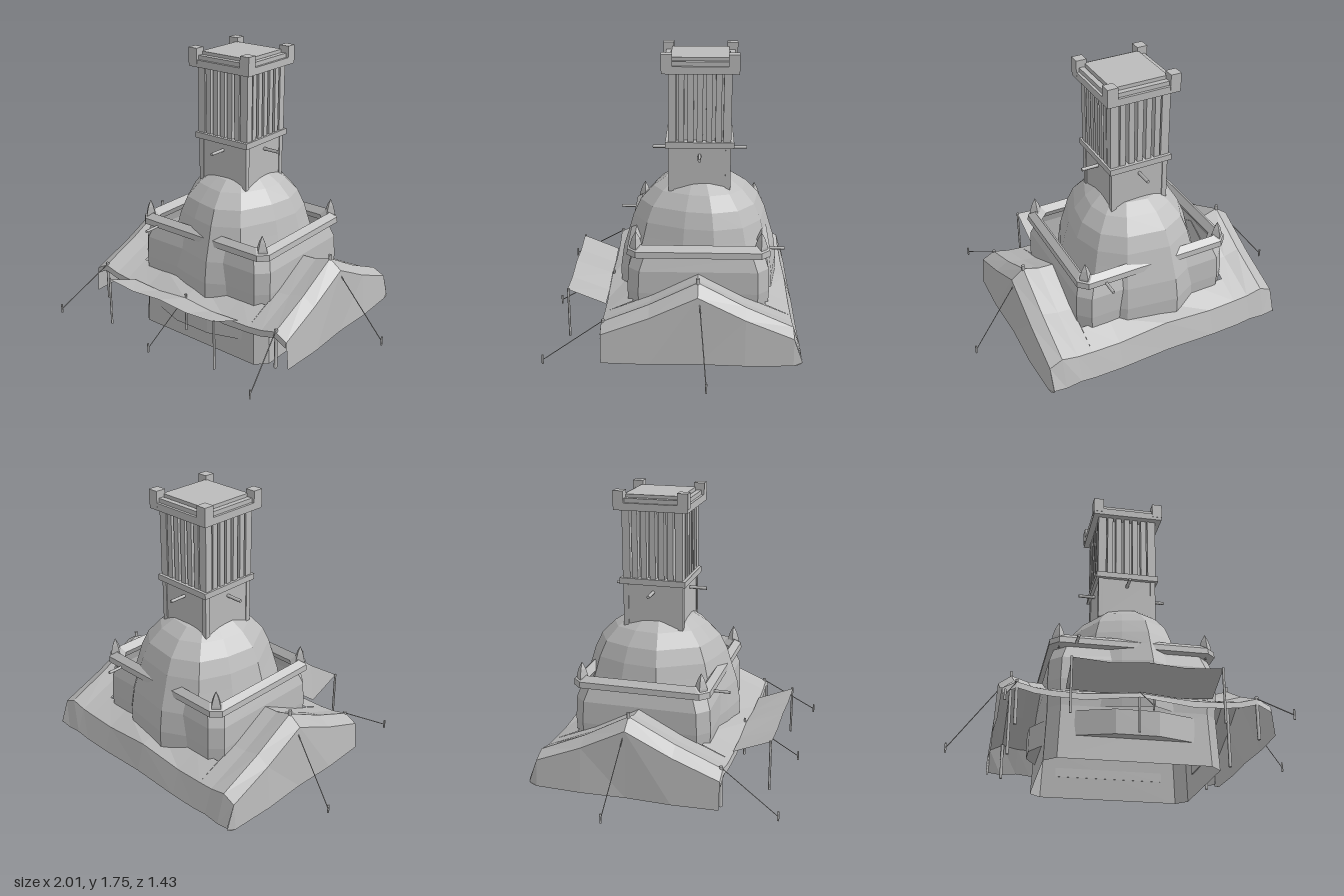
import * as THREE from 'three';

const CZ = -0.14; // building centre in z
const stone = new THREE.MeshStandardMaterial({ color: 0xbbbbbb, side: THREE.DoubleSide });
stone.name = 'plain grey';

export function createModel() {
  const model = new THREE.Group();
  const V = (x, y, z) => new THREE.Vector3(x, y, z);

  function add(name, geometry, x = 0, y = 0, z = 0) {
    const mesh = new THREE.Mesh(geometry, stone);
    mesh.name = name;
    mesh.position.set(x, y, z);
    model.add(mesh);
    return mesh;
  }
  const box = (name, w, h, d, x, y, z) => add(name, new THREE.BoxGeometry(w, h, d), x, y, z);

  // Thin round bar between two points
  function bar(name, a, b, r, sides = 6) {
    const mesh = add(name, new THREE.CylinderGeometry(r, r, a.distanceTo(b), sides));
    mesh.position.copy(a).lerp(b, 0.5);
    mesh.quaternion.setFromUnitVectors(V(0, 1, 0), b.clone().sub(a).normalize());
  }

  // Faceted skin across rows of points
  function skin(name, rows, closed) {
    const n = rows[0].length, index = [];
    for (let i = 0; i < rows.length - 1; i++) {
      for (let j = 0; j < (closed ? n : n - 1); j++) {
        const a = i * n + j, b = i * n + (j + 1) % n;
        index.push(a, a + n, b, b, a + n, b + n);
      }
    }
    const g = new THREE.BufferGeometry().setFromPoints(rows.flat());
    g.setIndex(index);
    const flat = g.toNonIndexed();
    flat.computeVertexNormals();
    return add(name, flat);
  }

  // Square ring with cut corners, ordered clockwise from above
  function cutSquare(hx, hz, c, y) {
    return [[hx - c, hz], [hx, hz - c], [hx, c - hz], [hx - c, -hz],
      [c - hx, -hz], [-hx, c - hz], [-hx, hz - c], [c - hx, hz]]
      .map(([x, z]) => V(x, y, z + CZ)).reverse();
  }

  // Hollow tapering walls, with a ceiling inside
  skin('walls', [[0, 0.485], [0.3, 0.472], [0.45, 0.478], [0.58, 0.472], [0.66, 0.445]]
    .map(([y, h]) => cutSquare(h, h - 0.075, 0.065, y)), true);
  skin('ceiling', [cutSquare(0.468, 0.393, 0.06, 0.28), cutSquare(0.001, 0.001, 0, 0.28)], true);

  // Irregular faceted dome that bulges through the walls
  const outline = [[-0.1, -0.475], [-0.3, -0.37], [-0.39, -0.16], [-0.42, 0.08], [-0.25, 0.38],
    [-0.08, 0.43], [0.1, 0.465], [0.28, 0.36], [0.39, 0.1], [0.42, -0.1], [0.36, -0.3], [0.2, -0.43]];
  const domeSteps = [[0.3, 1], [0.45, 1], [0.58, 0.96], [0.7, 0.88], [0.78, 0.83], [0.87, 0.74],
    [0.95, 0.58], [1.0, 0.42], [1.02, 0.2], [1.02, 0]];
  skin('dome', domeSteps.map(([y, s]) => outline.map(([x, z]) => V(x * s, y, z * s + CZ))), true);

  // Gallery rail around the dome: inner and outer faces rise towards the corners
  const railProfile = [[0.41, 0.69], [0.43, 0.65], [0.478, 0.665], [0.475, 0.7], [0.44, 0.73], [0.41, 0.69]];
  skin('galleryRail', railProfile.map(([h, y]) => cutSquare(h, h - 0.075, 0.05, y)), true);
  for (const sx of [-1, 1]) {
    for (const sz of [-1, 1]) {
      const finial = new THREE.LatheGeometry([[0.001, 0.65], [0.036, 0.67], [0.036, 0.72], [0.022, 0.765], [0.001, 0.805]]
        .map(([r, y]) => new THREE.Vector2(r, y)), 4).toNonIndexed();
      finial.computeVertexNormals();
      add('cornerFinial', finial, sx * 0.425, 0, CZ + sz * 0.35);
    }
  }
  bar('railSpout', V(-0.33, 0.67, 0.22), V(-0.33, 0.67, 0.355), 0.009);
  bar('railSpout', V(0.32, 0.67, -0.5), V(0.32, 0.67, -0.63), 0.009);

  // Tower neck with a beam through each face
  box('towerNeck', 0.34, 0.28, 0.345, 0, 1.09, CZ);
  for (const sx of [-1, 1]) {
    for (const sz of [-1, 1]) box('neckCorner', 0.03, 0.27, 0.03, sx * 0.16, 1.09, CZ + sz * 0.163);
  }
  for (const s of [-1, 1]) {
    bar('neckBeam', V(s * 0.15, 1.17, CZ), V(s * 0.27, 1.17, CZ), 0.01);
    bar('neckBeam', V(0, 1.17, CZ + s * 0.15), V(0, 1.17, CZ + s * 0.275), 0.01);
  }
  box('towerCollar', 0.38, 0.035, 0.39, 0, 1.233, CZ);

  // Ribbed shaft: recessed core with columns on all four sides
  box('shaftCore', 0.28, 0.4, 0.28, 0, 1.45, CZ);
  for (const s of [-1, 1]) {
    for (const t of [-0.155, -0.105, -0.052, 0, 0.052, 0.105, 0.155]) {
      const w = Math.abs(t) > 0.15 ? 0.05 : 0.034;
      box('shaftColumn', w, 0.4, 0.045, t, 1.45, CZ + s * 0.155);
      if (w < 0.05) box('shaftColumn', 0.045, 0.4, w, s * 0.155, 1.45, CZ + t);
    }
  }

  // Tower cap with corner blocks
  box('towerCap', 0.43, 0.042, 0.43, 0, 1.667, CZ);
  box('capSlab', 0.33, 0.05, 0.33, 0, 1.705, CZ);
  for (const s of [-1, 1]) {
    box('capRim', 0.35, 0.025, 0.03, 0, 1.7, CZ + s * 0.185);
    box('capRim', 0.03, 0.025, 0.35, s * 0.185, 1.7, CZ);
    for (const t of [-1, 1]) box('capCornerBlock', 0.062, 0.09, 0.062, s * 0.186, 1.71, CZ + t * 0.186);
  }

  // Sagging tent roof, cut in two halves around the building
  const cols = [0.47, 0.56, 0.655, 0.73];
  const front = [0.325, 0.335, 0.36, 0.32], ridge = [0.57, 0.575, 0.605, 0.55], back = [0.32, 0.325, 0.345, 0.31];
  for (const s of [-1, 1]) {
    skin('tentRoof', [
      cols.map((x, i) => V(s * x, front[i] - 0.035, 0.395)),
      cols.map((x, i) => V(s * x, front[i], 0.39)),
      cols.map((x, i) => V(s * x, (front[i] + ridge[i]) / 2 - 0.012, 0.125)),
      cols.map((x, i) => V(s * x, ridge[i], CZ)),
      cols.map((x, i) => V(s * x, (back[i] + ridge[i]) / 2 - 0.012, -0.4)),
      cols.map((x, i) => V(s * x, back[i], -0.665)),
      cols.map((x, i) => V(s * x, 0.17 + 0.01 * (i % 2), -0.715)),
    ]);
    // Side cloth, flaring slightly at the foot
    const side = [[0.39, 0.32], [0.125, 0.423], [CZ, 0.55], [-0.4, 0.418], [-0.665, 0.31]];
    skin('tentSide', [
      side.map(([z, y]) => V(s * 0.73, y, z)),
      side.map(([z], i) => V(s * (0.745 + 0.01 * (i % 2)), 0.155, z)),
    ]);
    skin('tentRearCorner', [
      [V(s * 0.73, 0.31, -0.665), V(s * 0.73, 0.17, -0.715)],
      [V(s * 0.745, 0.155, -0.665), V(s * 0.745, 0.165, -0.7)],
    ]);
    // Tent posts
    for (const [z, top] of [[0.38, 0.375], [CZ, 0.63], [-0.65, 0.345]]) {
      bar('tentPost', V(s * 0.655, 0.13, z), V(s * 0.655, top, z), 0.01);
    }
  }

  // Middle roof strips in front of and behind the dome
  const mid = [-0.47, -0.3, 0, 0.3, 0.47];
  const wave = [0, -0.005, 0.02, -0.005, 0];
  skin('frontRoofStrip', [
    mid.map((x, i) => V(x, 0.29 + wave[i] * 1.5, 0.395)),
    mid.map((x, i) => V(x, 0.325 + wave[i], 0.39)),
    mid.map((x) => V(x, 0.395, 0.23)),
  ]);
  skin('rearRoofStrip', [
    mid.map((x) => V(x, 0.385, -0.52)),
    mid.map((x, i) => V(x, 0.32 + wave[i], -0.665)),
    mid.map((x, i) => V(x, 0.17 + wave[i] / 2, -0.715)),
  ]);

  // Raised entrance awning on poles
  const awning = [-0.4, -0.2, 0, 0.2, 0.4];
  skin('entranceAwning', [
    awning.map((x, i) => V(x, 0.43 - 0.015 * (i % 2), 0.61)),
    awning.map((x, i) => V(x, 0.335 + [0.005, -0.005, 0.015, -0.005, 0.005][i], 0.39)),
  ]);
  for (const x of [-0.4, 0.4]) bar('awningPole', V(x, 0.13, 0.605), V(x, 0.435, 0.605), 0.007);
  bar('awningPole', V(0, 0.13, 0.38), V(0, 0.37, 0.38), 0.007);

  // Guy ropes and their stakes
  function guy(a, b) {
    bar('guyRope', a, b, 0.003, 4);
    bar('ropeStake', V(b.x, 0.135, b.z), V(b.x, 0.19, b.z), 0.006, 5);
  }
  guy(V(0, 0.35, 0.39), V(0, 0.16, 0.71));
  for (const s of [-1, 1]) {
    guy(V(s * 0.655, 0.36, 0.39), V(s * 0.73, 0.16, 0.71));
    guy(V(s * 0.655, 0.605, CZ), V(s * 0.997, 0.16, -0.19));
  }

  // Three-sided counters against the walls
  function counter(width, top, x, z, turn) {
    const shape = new THREE.Shape([[-width, 0], [width, 0], [top, -0.07], [-top, -0.07]]
      .map(([px, py]) => new THREE.Vector2(px, py)));
    const g = new THREE.ExtrudeGeometry(shape, { depth: 0.14, bevelEnabled: false });
    g.rotateX(-Math.PI / 2);
    add('marketCounter', g, x, 0.13, z).rotation.y = turn;
  }
  counter(0.33, 0.12, 0, 0.262, 0);
  counter(0.2, 0.07, 0.472, CZ, Math.PI / 2);
  counter(0.2, 0.07, -0.472, CZ, -Math.PI / 2);
  counter(0.33, 0.12, 0, -0.542, Math.PI);

  return model;
}
